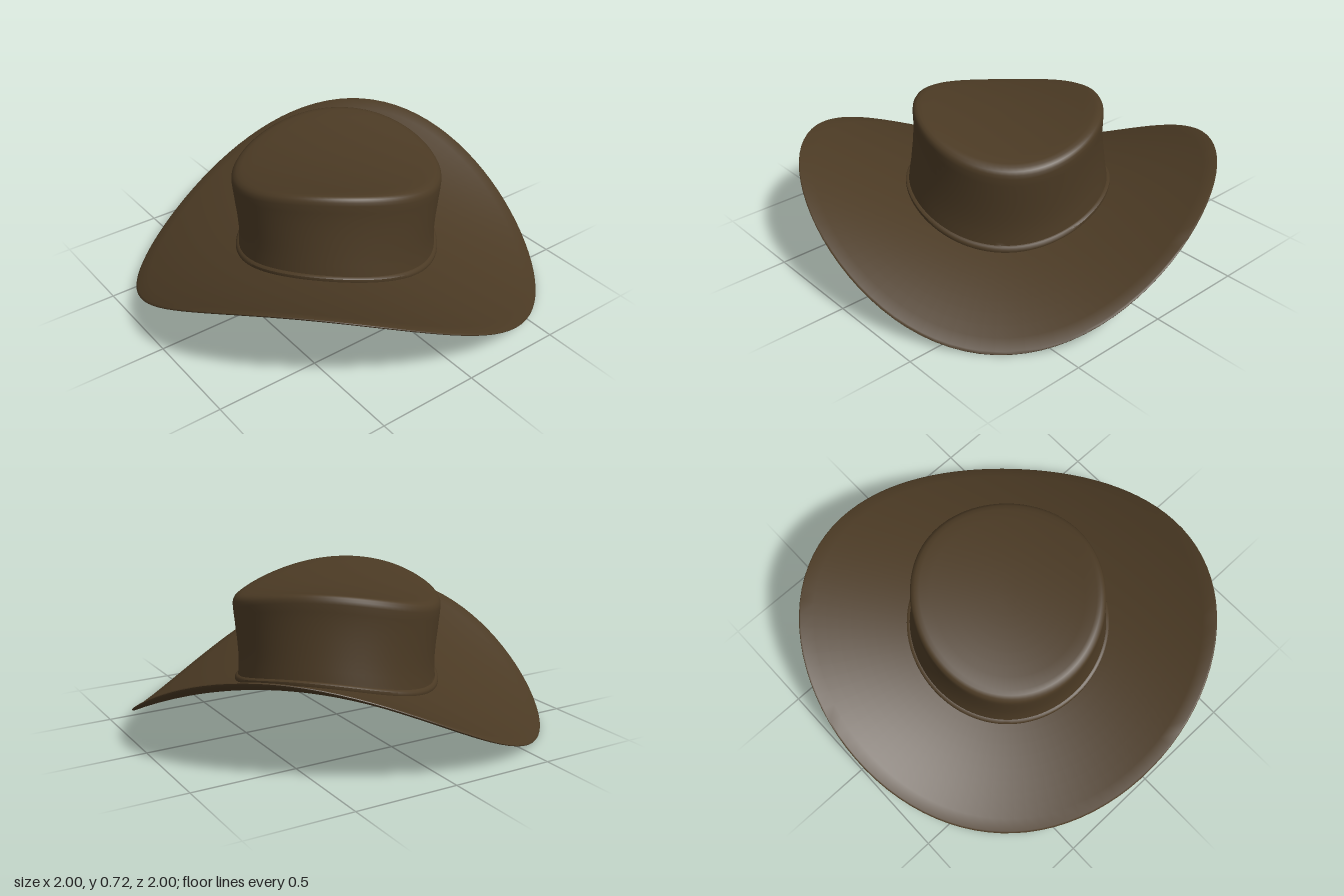
import * as THREE from 'three';
import { toCreasedNormals } from 'three/addons/utils/BufferGeometryUtils.js';

const SEGMENTS = 96;
const felt = new THREE.MeshStandardMaterial({ color: 0x4b3a24, roughness: 0.9 });

// Split each profile span so the flat areas can follow the saddle bend
function subdivide(profile, step) {
  const out = [];
  profile.forEach(([r, y], i) => {
    if (i > 0) {
      const [r0, y0] = profile[i - 1];
      const n = Math.max(1, Math.ceil(Math.hypot(r - r0, y - y0) / step));
      for (let k = 1; k < n; k++) {
        out.push(new THREE.Vector2(r0 + (r - r0) * k / n, y0 + (y - y0) * k / n));
      }
    }
    out.push(new THREE.Vector2(r, y));
  });
  return out;
}

// Turn a profile, pinch the crown along one diagonal, then bend it all into a saddle
function bentLathe(name, profile, crown) {
  const geo = new THREE.LatheGeometry(subdivide(profile, 0.06), SEGMENTS);
  const p = geo.attributes.position;
  for (let i = 0; i < p.count; i++) {
    let x = p.getX(i), y = p.getY(i), z = p.getZ(i);
    if (crown) {
      const w = THREE.MathUtils.smoothstep(y, 0.27, 0.62);
      const a = Math.atan2(z, x);
      const f = 1 + w * (0.05 * Math.sin(2 * a) + 0.018 * Math.cos(2 * a));
      x *= f;
      z *= f;
      y += w * 0.09 * z * z;
    }
    p.setXYZ(i, x, y - 0.48 * x * z, z);
  }
  const mesh = new THREE.Mesh(toCreasedNormals(geo, 0.7), felt);
  mesh.name = name;
  return mesh;
}

export function createModel() {
  const hat = new THREE.Group();
  hat.name = 'hat';

  // Thin wide brim with a rounded edge and a round head opening
  hat.add(bentLathe('brim', [
    [0.482, 0.25], [0.482, 0.238], [0.992, 0.238], [0.998, 0.241], [1, 0.245],
    [0.998, 0.249], [0.992, 0.252], [0.482, 0.25],
  ], false));

  // Hollow crown: inside from the top down, then outside from the base up
  hat.add(bentLathe('crown', [
    [0, 0.655], [0.43, 0.655], [0.452, 0.647], [0.46, 0.63], [0.46, 0.4],
    [0.468, 0.3], [0.482, 0.24], [0.497, 0.245],
    [0.5, 0.255], [0.499, 0.266], [0.492, 0.273], [0.484, 0.275], [0.482, 0.29],
    [0.475, 0.36], [0.472, 0.45], [0.473, 0.55], [0.477, 0.625], [0.475, 0.643],
    [0.467, 0.657], [0.452, 0.666], [0.43, 0.669], [0, 0.667],
  ], true));

  return hat;
}
